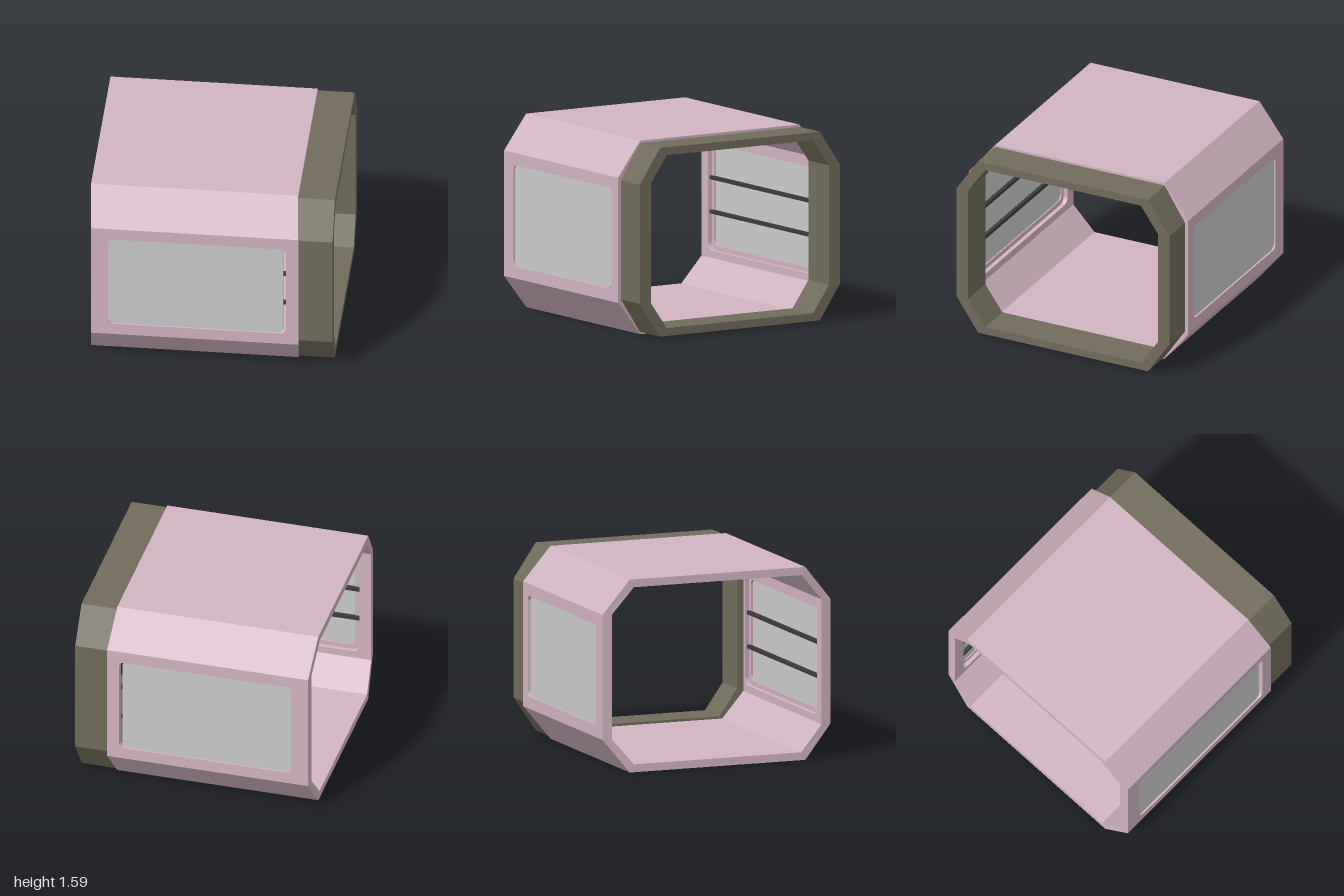
import * as THREE from 'three';

const mat = (color) => new THREE.MeshStandardMaterial({ color, flatShading: true });
const pink = mat(0xd2b4c2), olive = mat(0x716c5c), grey = mat(0xcccccc), dark = mat(0x3c3c3c);

const X0 = -1, X1 = 0.69, MID = 0.795;          // body ends and mid height
const WIN = { x0: -0.86, x1: 0.59, y0: 0.38, y1: 1.21 };

const polygon = (pts) => new THREE.Shape(pts.map(([a, b]) => new THREE.Vector2(a, b)));

// Octagon symmetric about z = 0 and the mid height
function octagon(side, sideHalf, flat, flatHalf) {
  const quarter = [[side, sideHalf], [flat, flatHalf]];
  const top = [...quarter, ...quarter.map(([a, b]) => [-a, b]).reverse()];
  return [...top, ...top.map(([a, b]) => [-a, -b])].map(([a, b]) => [a, b + MID]);
}

function roundedRect({ x0, x1, y0, y1 }, grow, r) {
  x0 -= grow; x1 += grow; y0 -= grow; y1 += grow;
  const s = new THREE.Shape();
  s.absarc(x1 - r, y0 + r, r, -Math.PI / 2, 0);
  s.absarc(x1 - r, y1 - r, r, 0, Math.PI / 2);
  s.absarc(x0 + r, y1 - r, r, Math.PI / 2, Math.PI);
  s.absarc(x0 + r, y0 + r, r, Math.PI, Math.PI * 1.5);
  s.closePath();
  return s;
}

const extrude = (shape, depth) =>
  new THREE.ExtrudeGeometry(shape, { depth, bevelEnabled: false, curveSegments: 6 });

// Extrude a z-y section along x
const alongX = (shape, x0, x1) => extrude(shape, x1 - x0).rotateY(Math.PI / 2).translate(x0, 0, 0);

// Shift the body ends toward +x where they leave the flat roof and floor
function slantEnds(geo) {
  const p = geo.attributes.position;
  for (let i = 0; i < p.count; i++) {
    const t = Math.max(0, Math.abs(p.getZ(i)) - 0.77) / 0.23;
    p.setX(i, p.getX(i) + 0.024 * t);
  }
  geo.computeVertexNormals();
  return geo;
}

function add(parent, name, geo, material) {
  const mesh = new THREE.Mesh(geo, material);
  mesh.name = name;
  parent.add(mesh);
  return mesh;
}

// Window wall, built on the +z side
function createWall(name) {
  const wall = new THREE.Group();
  wall.name = name;
  const layer = (z0, z1, grow, r) => {
    const s = polygon([[X0, 0.28], [X1, 0.28], [X1, 1.31], [X0, 1.31]]);
    s.holes.push(roundedRect(WIN, grow, r));
    return slantEnds(extrude(s, z1 - z0).translate(0, 0, z0));
  };
  add(wall, 'outerPanel', layer(0.955, 1, 0, 0.045), pink);
  add(wall, 'innerPanel', layer(0.92, 0.955, 0.04, 0.06), pink);
  add(wall, 'windowPane', extrude(roundedRect(WIN, 0, 0.045), 0.02).translate(0, 0, 0.965), grey);
  // Two bars across the inside of the window
  for (const y of [0.655, 0.935]) {
    const bar = add(wall, 'windowBar', new THREE.BoxGeometry(1.53, 0.03, 0.03), dark);
    bar.position.set(-0.135, y, 0.945);
  }
  return wall;
}

export function createModel() {
  const model = new THREE.Group();
  model.name = 'habitatModule';

  // Roof and floor with their sloped edges
  const section = [[1, 1.31], [0.77, 1.59], [-0.77, 1.59], [-1, 1.31],
    [-0.92, 1.31], [-0.735, 1.525], [0.735, 1.525], [0.92, 1.31]];
  add(model, 'roof', slantEnds(alongX(polygon(section), X0, X1)), pink);
  const floorSection = section.map(([a, b]) => [a, 1.59 - b]);
  add(model, 'floor', slantEnds(alongX(polygon(floorSection), X0, X1)), pink);

  // Window walls front and back
  model.add(createWall('frontWall'));
  const back = createWall('backWall');
  back.traverse((o) => {
    if (!o.isMesh) return;
    // Mirror in z and turn the triangles over
    o.updateMatrix();
    const g = o.geometry.toNonIndexed().applyMatrix4(o.matrix).scale(1, 1, -1);
    const p = g.attributes.position, a = new THREE.Vector3(), b = new THREE.Vector3();
    for (let i = 0; i < p.count; i += 3) {
      a.fromBufferAttribute(p, i + 1);
      b.fromBufferAttribute(p, i + 2);
      p.setXYZ(i + 1, b.x, b.y, b.z);
      p.setXYZ(i + 2, a.x, a.y, a.z);
    }
    g.computeVertexNormals();
    o.geometry = g;
    o.position.set(0, 0, 0);
  });
  model.add(back);

  // Connecting collar
  const ring = polygon(octagon(0.97, 0.49, 0.775, 0.775));
  ring.holes.push(polygon(octagon(0.865, 0.49, 0.71, 0.71)));
  add(model, 'collar', alongX(ring, 0.685, 0.99), olive);

  return model;
}
